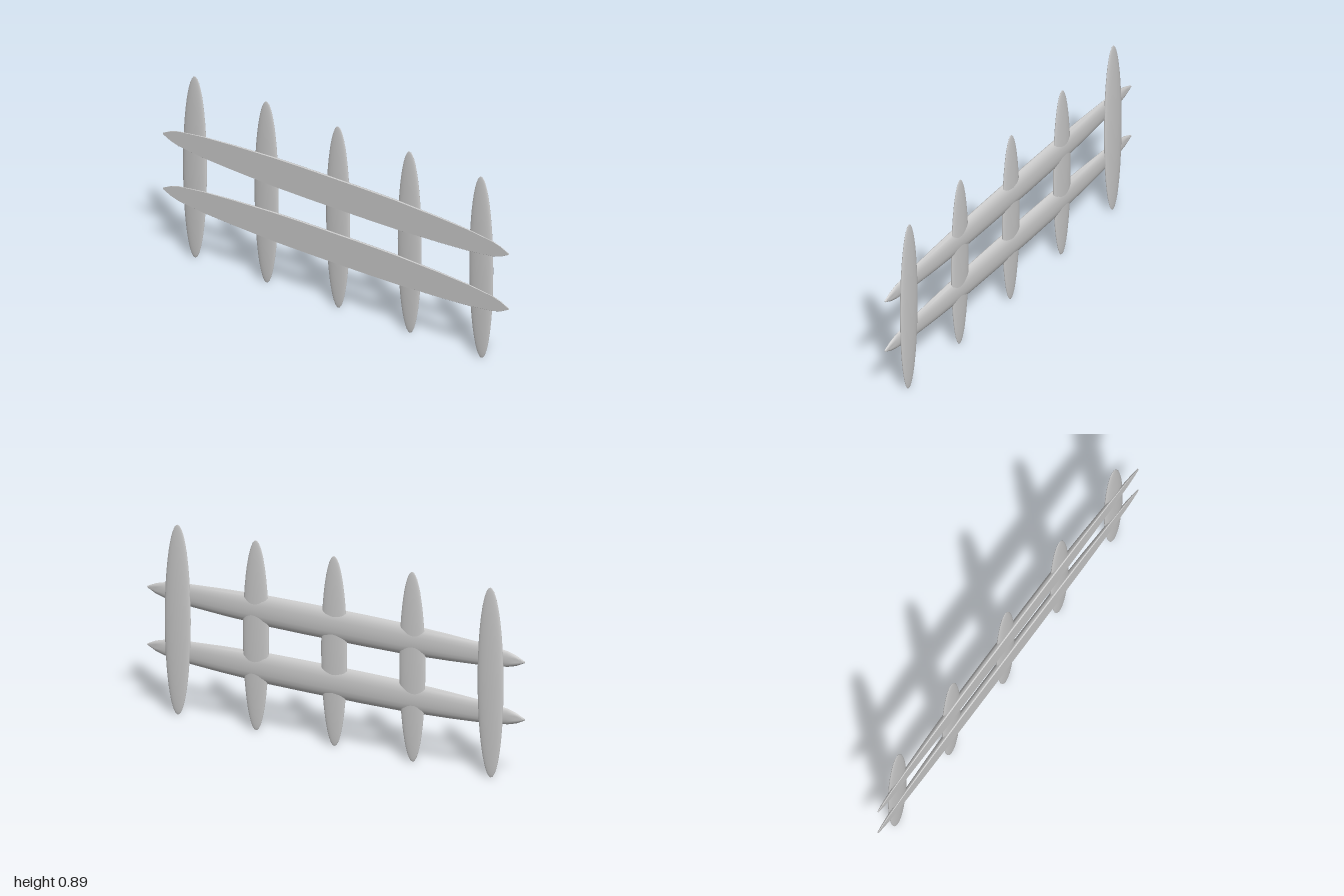
import * as THREE from 'three';
import { toCreasedNormals } from 'three/addons/utils/BufferGeometryUtils.js';

const material = new THREE.MeshStandardMaterial({ color: 0xcccccc });
const BACK = -0.018; // flat back plane of the rails

// Half of a rail: [z, half height, front x]
const half = [
  [1, 0.004, -0.012], [0.955, 0.025, -0.008], [0.91, 0.037, -0.005], [0.77, 0.053, 0.002],
  [0.6, 0.063, 0.009], [0.35, 0.073, 0.0155], [0.15, 0.075, 0.0165],
];
const stations = [
  ...half.map(([z, h, f]) => [-z, h, f]),
  ...half.slice().reverse(),
];

// Rail cross-section: flat back, short side walls, domed front [depth 0..1, height -1..1]
const lower = [[0, -0.96], [0.15, -1], [0.4, -0.95], [0.65, -0.82], [0.85, -0.62], [0.97, -0.35]];
const section = [
  ...lower, [1, 0],
  ...lower.slice().reverse().map(([d, y]) => [d, -y]),
];

// Loft the section through the stations and close both tips
function railGeometry() {
  const n = section.length, positions = [], index = [];
  for (const [z, h, front] of stations) {
    for (const [d, y] of section) positions.push(BACK + d * (front - BACK), y * h, z);
  }
  for (let i = 0; i < stations.length - 1; i++) {
    for (let j = 0; j < n; j++) {
      const a = i * n + j, b = i * n + (j + 1) % n;
      index.push(a, b, a + n, b, b + n, a + n);
    }
  }
  const end = (stations.length - 1) * n;
  for (let j = 1; j < n - 1; j++) {
    index.push(0, j + 1, j);
    index.push(end, end + j, end + j + 1);
  }
  const geometry = new THREE.BufferGeometry();
  geometry.setAttribute('position', new THREE.Float32BufferAttribute(positions, 3));
  geometry.setIndex(index);
  return toCreasedNormals(geometry, 0.7);
}

export function createModel() {
  const group = new THREE.Group();
  group.name = 'fence';

  // Five flattened, pointed pickets
  const picket = new THREE.SphereGeometry(1, 24, 24);
  picket.scale(0.013, 0.446, 0.069);
  [-0.83, -0.415, 0, 0.415, 0.83].forEach((z, i) => {
    const mesh = new THREE.Mesh(picket, material);
    mesh.name = `picket${i + 1}`;
    mesh.position.set(0, 0.446, z);
    group.add(mesh);
  });

  // Two tapered rails running through the pickets
  const rail = railGeometry();
  for (const [name, y] of [['lowerRail', 0.296], ['upperRail', 0.566]]) {
    const mesh = new THREE.Mesh(rail, material);
    mesh.name = name;
    mesh.position.y = y;
    group.add(mesh);
  }
  return group;
}
